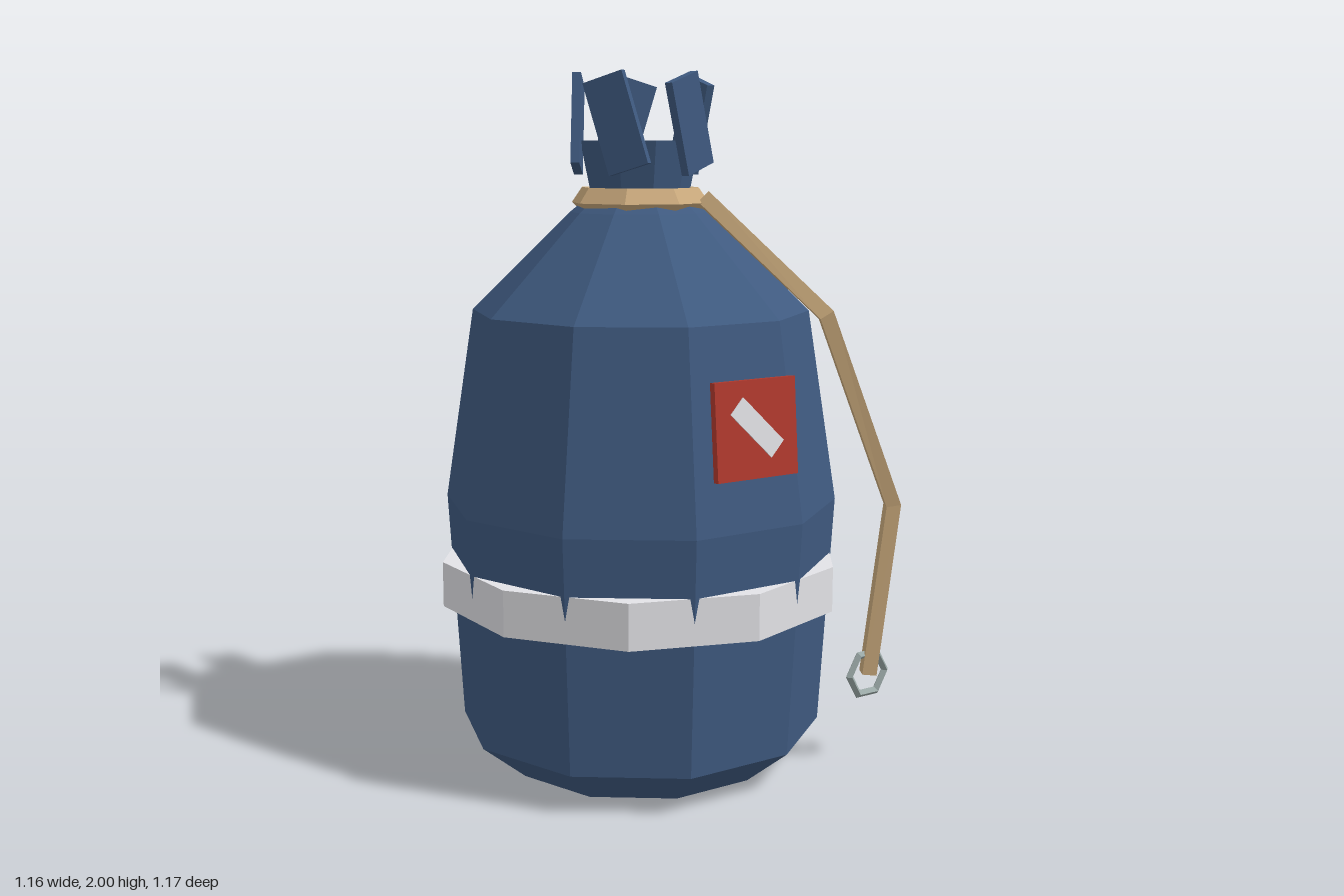
import * as THREE from 'three';

const paint = (color, side = THREE.FrontSide) =>
  new THREE.MeshStandardMaterial({ color, flatShading: true, side });

const navy = paint(0x3f5a80);
const tan = paint(0xc9a97c, THREE.DoubleSide);
const white = paint(0xe2e2e6);
const red = paint(0xb23a2e);
const steel = paint(0x9aa8a6);

function part(name, geometry, material, x = 0, y = 0, z = 0) {
  const mesh = new THREE.Mesh(geometry, material);
  mesh.name = name;
  mesh.position.set(x, y, z);
  return mesh;
}

// Faceted solid of revolution with a corner on the x axis
const turned = (profile, sides) =>
  new THREE.LatheGeometry(profile.map(([r, y]) => new THREE.Vector2(r, y)), sides, Math.PI / 2);

// Straight runs between points, sampled exactly at the corners
class Polyline extends THREE.Curve {
  constructor(points) {
    super();
    this.points = points.map((p) => new THREE.Vector3(...p));
  }
  getPoint(t, target = new THREE.Vector3()) {
    const n = this.points.length - 1;
    const i = Math.min(Math.floor(t * n), n - 1);
    return target.lerpVectors(this.points[i], this.points[i + 1], t * n - i);
  }
  getPointAt(u, target) { return this.getPoint(u, target); }
  getTangentAt(u, target) { return this.getTangent(u, target); }
}

export function createModel() {
  const model = new THREE.Group();
  model.name = 'tiedBag';
  const cx = -0.01; // bag axis

  // Bag with a pinched neck
  model.add(part('bagBody', turned([
    [0, 0], [0.395, 0], [0.53, 0.11], [0.57, 0.78], [0.485, 1.33],
    [0.2, 1.61], [0.14, 1.66], [0.17, 1.81], [0, 1.81],
  ], 10), navy, cx));

  // Belt, turned half a facet so the bag corners poke through
  model.add(part('belt', new THREE.CylinderGeometry(0.585, 0.585, 0.13, 10), white, cx, 0.555, 0));

  // Cord loop around the neck
  model.add(part('neckCord', turned([
    [0.14, 1.625], [0.17, 1.61], [0.2, 1.637], [0.17, 1.68], [0.14, 1.67], [0.14, 1.625],
  ], 8), tan, cx));

  // Gathered cloth flaps, each leaning sideways
  for (let i = 0; i < 5; i++) {
    const pivot = new THREE.Group();
    pivot.name = 'flap';
    pivot.position.set(cx, 1.857, 0);
    pivot.rotation.y = Math.PI / 2 + (i * Math.PI * 2) / 5;
    const cloth = part('flapCloth', new THREE.BoxGeometry(0.12, 0.262, 0.025), navy, 0, 0, 0.177);
    cloth.rotation.z = 0.3;
    pivot.add(cloth);
    model.add(pivot);
  }

  // Hanging cord and its ring
  const path = new Polyline([[0.115, 1.65, 0.14], [0.315, 1.335, 0.445], [0.54, 0.78, 0.485], [0.5, 0.27, 0.443]]);
  model.add(part('hangingCord', new THREE.TubeGeometry(path, 3, 0.03, 4), tan));
  model.add(part('ring', new THREE.TorusGeometry(0.067, 0.013, 4, 6), steel, 0.497, 0.27, 0.443));

  // Tilted square patch with a diagonal stripe
  const patch = new THREE.Group();
  patch.name = 'patch';
  patch.position.set(cx, 1.062, 0.554);
  patch.rotation.x = -0.08;
  patch.add(part('patchPlate', new THREE.BoxGeometry(0.263, 0.262, 0.02), red));
  const stripe = part('patchStripe', new THREE.BoxGeometry(0.178, 0.06, 0.008), white, 0, 0.004, 0.009);
  stripe.rotation.z = -0.77;
  patch.add(stripe);
  model.add(patch);

  return model;
}
